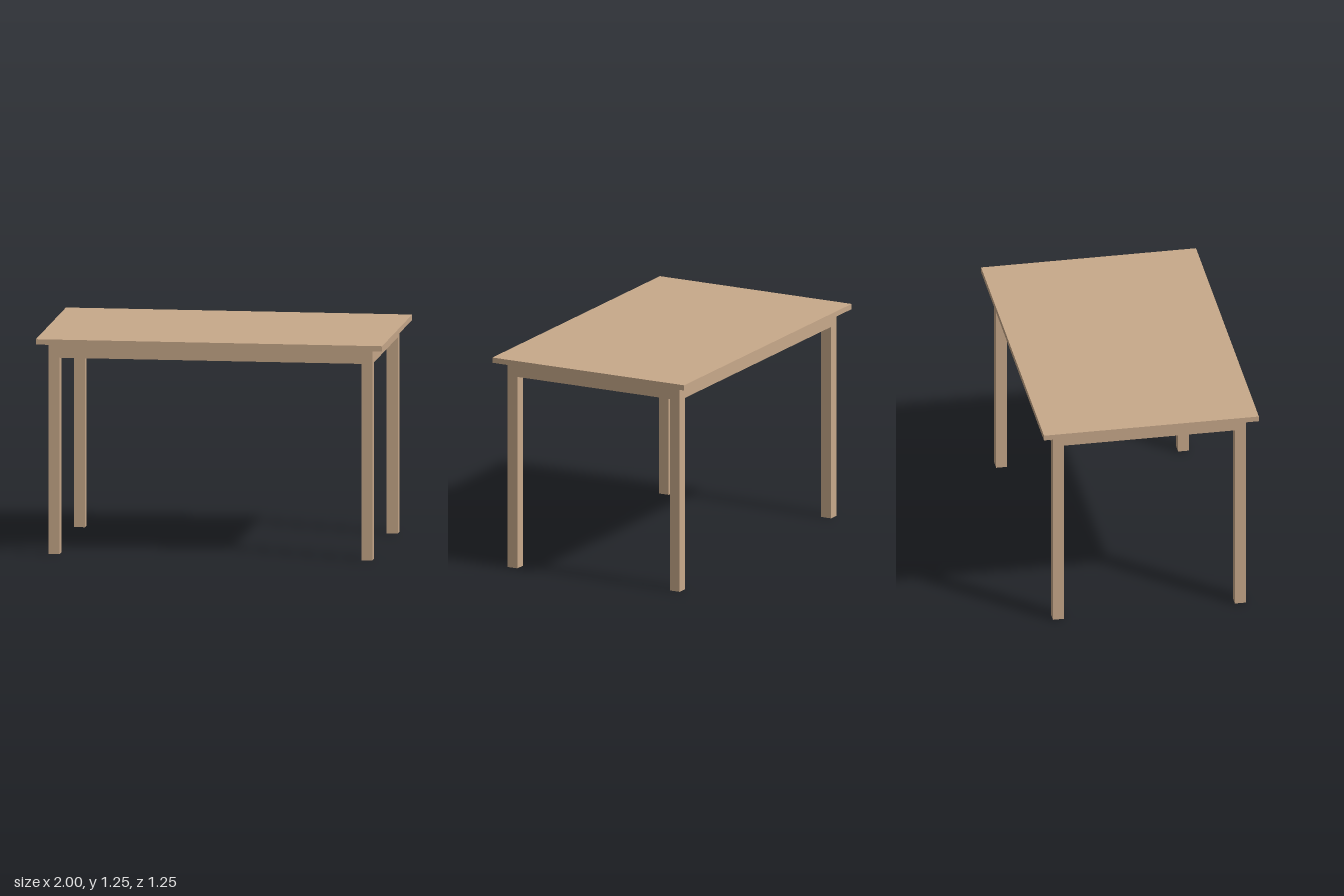
import * as THREE from 'three';

const W = 2, D = 1.25, H = 1.25;   // overall size
const T = 0.031;                   // board thickness
const LEG = 0.064;                 // leg section
const OX = 0.935, OZ = 0.561;      // outer faces of the legs
const APRON = 0.083;               // apron height
const UNDER = H - T;               // underside of the top

export function createModel() {
  const table = new THREE.Group();
  table.name = 'table';
  const wood = new THREE.MeshStandardMaterial({ color: 0xc8a98a });

  const add = (name, geometry, x, y, z) => {
    const mesh = new THREE.Mesh(geometry, wood);
    mesh.name = name;
    mesh.position.set(x, y, z);
    table.add(mesh);
  };
  const box = (name, w, h, d, x, y, z) => add(name, new THREE.BoxGeometry(w, h, d), x, y, z);

  box('tableTop', W, T, D, 0, H - T / 2, 0);

  // Aprons run between the legs, flush with their outer faces
  const apronY = UNDER - APRON / 2;
  for (const s of [1, -1]) {
    box(s > 0 ? 'frontApron' : 'backApron', 2 * (OX - LEG), APRON, T, 0, apronY, s * (OZ - T / 2));
    box(s > 0 ? 'leftApron' : 'rightApron', T, APRON, 2 * (OZ - LEG), s * (OX - T / 2), apronY, 0);
  }

  // Legs, each with a diagonal brace across the inner corner of the aprons
  const ix = OX - T, iz = OZ - T;  // inner faces of the aprons
  const reach = 0.1, back = reach - T * Math.SQRT2;
  for (const sx of [1, -1]) for (const sz of [1, -1]) {
    const corner = (sz > 0 ? 'front' : 'back') + (sx > 0 ? 'Left' : 'Right');
    box(corner + 'Leg', LEG, UNDER, LEG, sx * (OX - LEG / 2), UNDER / 2, sz * (OZ - LEG / 2));

    const outline = new THREE.Shape([
      [ix - reach, iz], [ix, iz - reach], [ix, iz - back], [ix - back, iz],
    ].map(([x, z]) => new THREE.Vector2(sx * x, sz * z)));
    const brace = new THREE.ExtrudeGeometry(outline, { depth: APRON, bevelEnabled: false });
    brace.rotateX(Math.PI / 2);
    add(corner + 'Brace', brace, 0, UNDER, 0);
  }
  return table;
}
